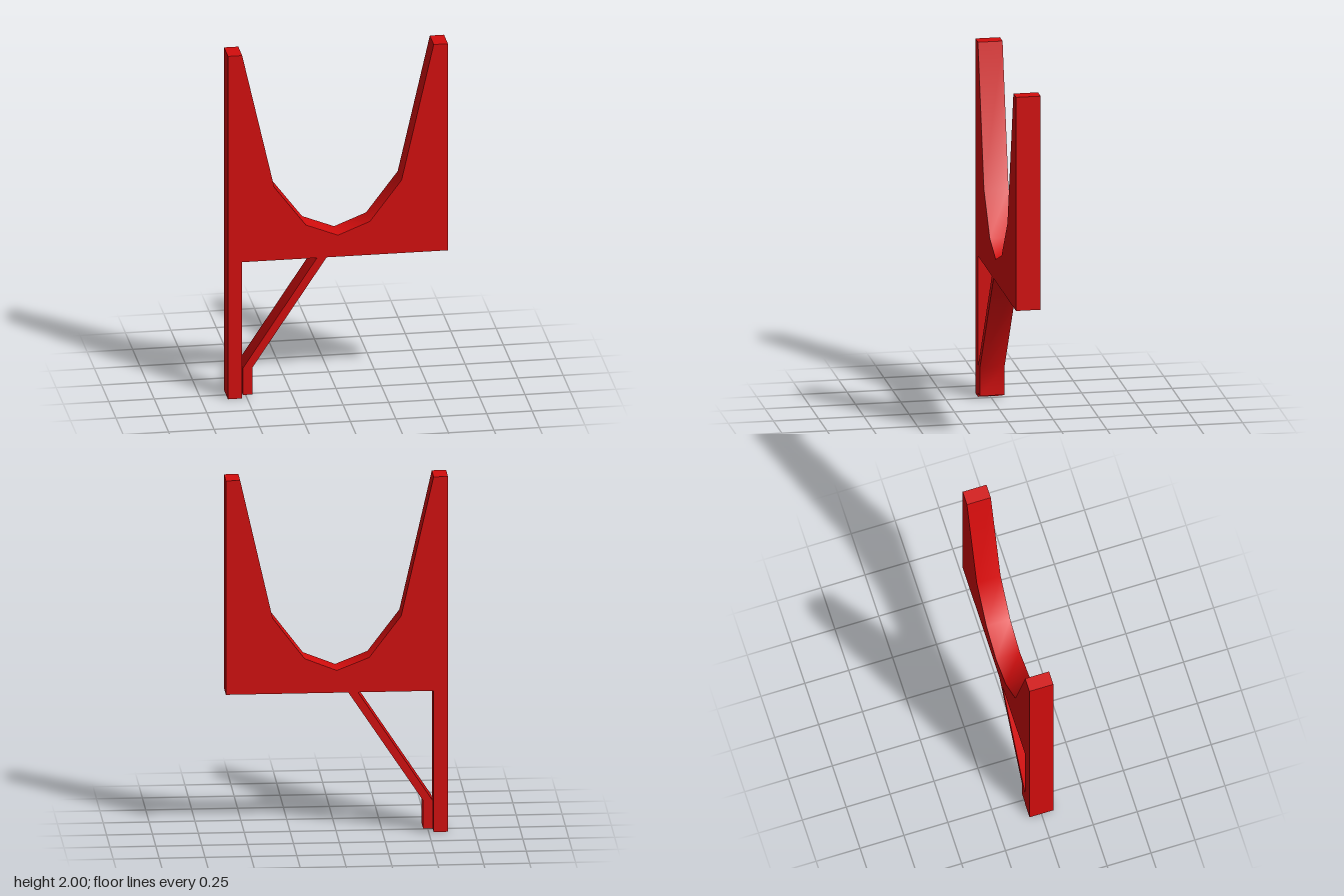
import * as THREE from 'three';
import { toCreasedNormals } from 'three/addons/utils/BufferGeometryUtils.js';

const DEPTH = 0.136;
const red = new THREE.MeshStandardMaterial({ color: 0xd40d0d });

// Flat plate cut from an outline, centred on z = 0; shallow bends stay smooth
function plate(name, points) {
  const shape = new THREE.Shape(points.map(([x, y]) => new THREE.Vector2(x, y)));
  const geometry = new THREE.ExtrudeGeometry(shape, { depth: DEPTH, bevelEnabled: false });
  geometry.translate(0, 0, -DEPTH / 2);
  const mesh = new THREE.Mesh(toCreasedNormals(geometry, 0.8), red);
  mesh.name = name;
  return mesh;
}

export function createModel() {
  const group = new THREE.Group();
  group.name = 'cradleBracket';

  // Half of the U-shaped cradle edge, from the tip down, mirrored for the other side
  const half = [[0.527, 2], [0.35, 1.22], [0.176, 0.99]];
  const mirrored = half.map(([x, y]) => [-x, y]).reverse();

  // Cradle and its long post, in one piece
  group.add(plate('cradleAndPost', [
    [-0.605, 0], [-0.527, 0], [-0.527, 0.795], [0.605, 0.795], [0.605, 2],
    ...half, [0, 0.92], ...mirrored, [-0.605, 2],
  ]));

  // Diagonal brace with a short upright foot, a hair clear of the post
  group.add(plate('diagonalBrace', [
    [-0.523, 0.02], [-0.47, 0.02], [-0.47, 0.178], [-0.062, 0.795],
    [-0.115, 0.795], [-0.523, 0.175],
  ]));

  return group;
}
